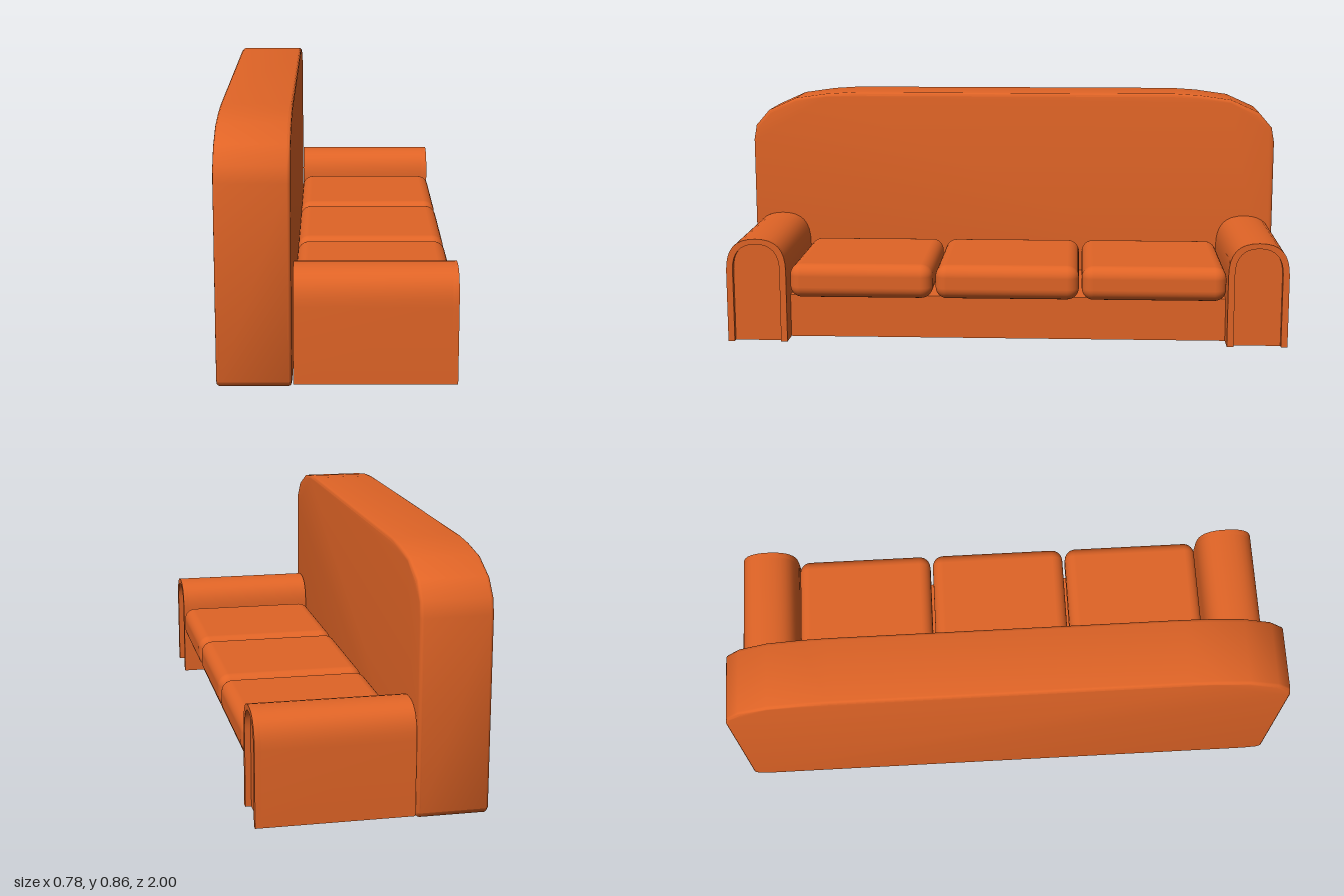
import * as THREE from 'three';
import { toCreasedNormals } from 'three/addons/utils/BufferGeometryUtils.js';
import { RoundedBoxGeometry } from 'three/addons/geometries/RoundedBoxGeometry.js';

const fabric = new THREE.MeshStandardMaterial({ color: 0xe06426 });

function addMesh(parent, name, geometry, x = 0, y = 0, z = 0) {
  const mesh = new THREE.Mesh(geometry, fabric);
  mesh.name = name;
  mesh.position.set(x, y, z);
  parent.add(mesh);
  return mesh;
}

// Extrudes a side-to-side profile (z, y) along x, from x0 to x1
function extrudeAlongX(shape, x0, x1, bevel = 0) {
  const geometry = new THREE.ExtrudeGeometry(shape, {
    depth: x1 - x0 - 2 * bevel, curveSegments: 8,
    bevelEnabled: bevel > 0, bevelThickness: bevel, bevelSize: bevel,
    bevelOffset: -bevel, bevelSegments: 3,
  });
  geometry.translate(0, 0, x0 + bevel);
  geometry.rotateY(Math.PI / 2);
  return toCreasedNormals(geometry, 0.7);
}

// Arch outline with upright sides and a softly flattened top
function arch(Type, halfWidth, bottom, top) {
  const spring = top - halfWidth * 1.1;
  const path = new Type();
  path.moveTo(-halfWidth, bottom);
  path.lineTo(halfWidth, bottom);
  path.lineTo(halfWidth, spring);
  path.bezierCurveTo(halfWidth, top - 0.035, halfWidth * 0.68, top, 0, top);
  path.bezierCurveTo(-halfWidth * 0.68, top, -halfWidth, top - 0.035, -halfWidth, spring);
  path.closePath();
  return path;
}

export function createModel() {
  const sofa = new THREE.Group();
  sofa.name = 'sofa';

  // Tall backrest with broad rounded shoulders
  const half = [
    [0.93, 0], [0.985, 0.01], [1, 0.028], [1, 0.68], [0.99, 0.735], [0.94, 0.793],
    [0.835, 0.84], [0.715, 0.857], [0.62, 0.863],
  ];
  const outline = [...half, ...half.map(([z, y]) => [-z, y]).reverse()];
  const backShape = new THREE.Shape(outline.map(([z, y]) => new THREE.Vector2(z, y)));
  addMesh(sofa, 'backrest', extrudeAlongX(backShape, -0.39, -0.147, 0.012));

  // Seat base, set back from the arm fronts
  addMesh(sofa, 'seatBase', new THREE.BoxGeometry(0.447, 0.155, 1.58), 0.0815, 0.0975, 0);

  // Three loose cushions
  for (let i = -1; i <= 1; i++) {
    addMesh(sofa, 'seatCushion', new RoundedBoxGeometry(0.53, 0.123, 0.513, 4, 0.042),
      0.122, 0.24, i * 0.523 - 0.003);
  }

  // Arms: solid arched body plus a raised rim around the front panel
  const body = extrudeAlongX(arch(THREE.Shape, 0.107, 0.02, 0.395), -0.142, 0.365);
  const rimShape = new THREE.Shape();
  const outer = arch(THREE.Path, 0.107, 0.02, 0.395).getPoints(8);
  const inner = arch(THREE.Path, 0.084, 0.02, 0.376).getPoints(8);
  // Open at the floor: run up the outside, then back down the inside
  const open = (pts) => pts.slice(1, pts.length - 1).concat([pts[0]]);
  rimShape.setFromPoints([...open(outer), ...open(inner).reverse()]);
  const rim = extrudeAlongX(rimShape, 0.365, 0.385);
  for (const side of [-1, 1]) {
    const arm = new THREE.Group();
    arm.name = side > 0 ? 'leftArm' : 'rightArm';
    arm.position.z = side * 0.893;
    addMesh(arm, 'armBody', body);
    addMesh(arm, 'armFrontRim', rim);
    sofa.add(arm);
  }
  return sofa;
}
